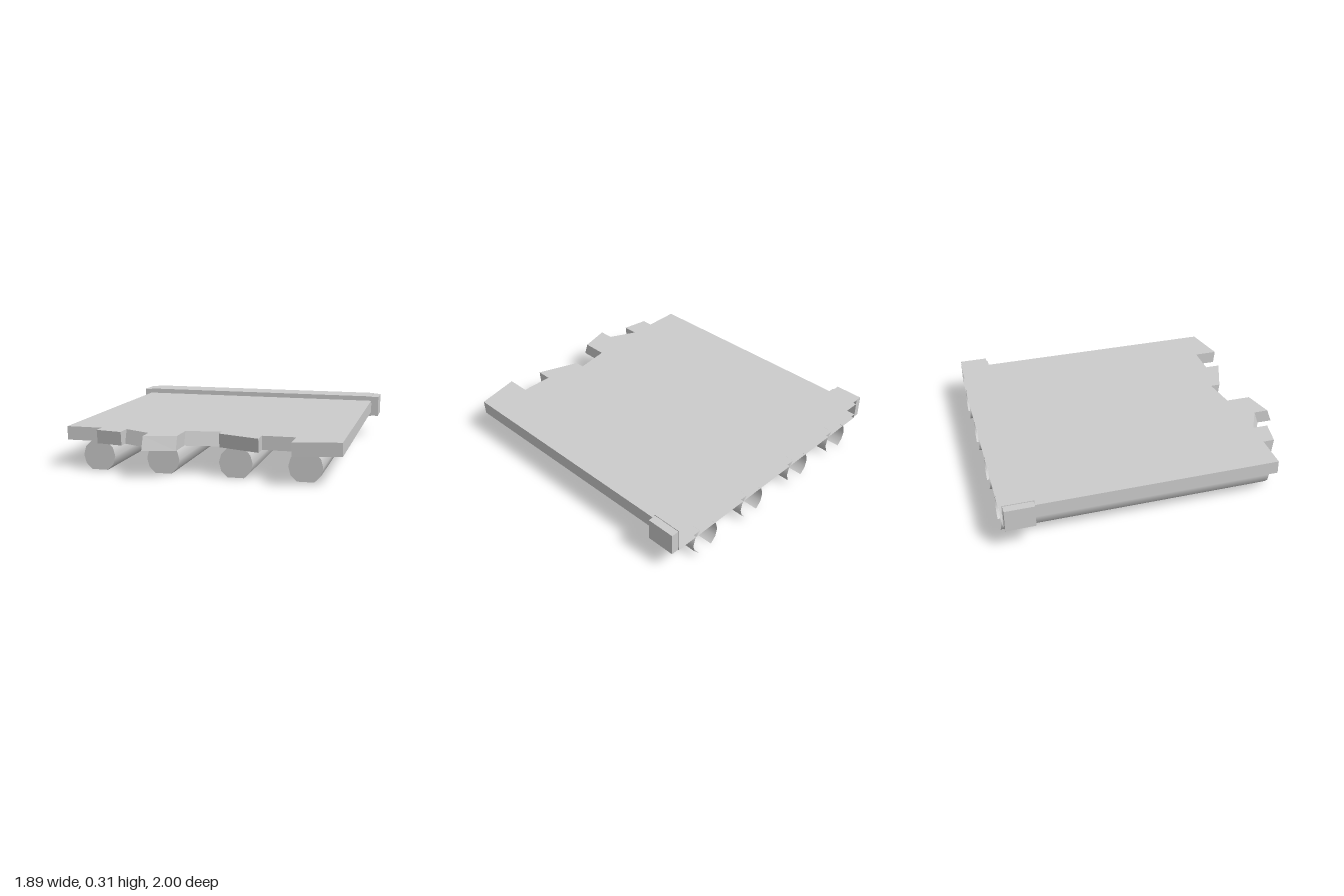
import * as THREE from 'three';

const smoothMaterial = new THREE.MeshStandardMaterial({ color: 0xcccccc, side: THREE.DoubleSide });
const flatMaterial = new THREE.MeshStandardMaterial({ color: 0xcccccc, flatShading: true, side: THREE.DoubleSide });
const BACK = -1;

// Removes the faces lying in the back plane, leaving the part open there
function openBack(geometry) {
  const source = geometry.index ? geometry.toNonIndexed() : geometry;
  const p = source.attributes.position;
  const kept = [];
  for (let i = 0; i < p.count; i += 3) {
    const onBack = [0, 1, 2].every((k) => Math.abs(p.getZ(i + k) - BACK) < 1e-4);
    if (!onBack) for (let k = 0; k < 3; k++) kept.push(p.getX(i + k), p.getY(i + k), p.getZ(i + k));
  }
  const result = new THREE.BufferGeometry();
  result.setAttribute('position', new THREE.Float32BufferAttribute(kept, 3));
  result.computeVertexNormals();
  return result;
}

function boxBetween(x0, x1, y0, y1, z0, z1) {
  return new THREE.BoxGeometry(x1 - x0, y1 - y0, z1 - z0)
    .translate((x0 + x1) / 2, (y0 + y1) / 2, (z0 + z1) / 2);
}

// Deck with a splintered front edge: x, top z, bottom z
function createDeck() {
  const edge = [
    [-0.895, 0.78, 0.78], [-0.66, 0.78, 0.78], [-0.66, 0.855, 0.845], [-0.487, 0.885, 0.875],
    [-0.487, 0.783, 0.813], [-0.31, 0.87, 0.9], [-0.31, 0.967, 1], [-0.108, 0.915, 0.945],
    [-0.108, 0.75, 0.78], [0.117, 0.715, 0.745], [0.117, 0.78, 0.77], [0.388, 0.88, 0.87],
    [0.388, 0.781, 0.781], [0.6, 0.78, 0.78], [0.6, 0.935, 0.925], [0.892, 0.872, 0.862],
  ];
  const outline = [[-0.895, BACK], [0.892, BACK], ...edge.slice().reverse()];
  const shape = new THREE.Shape(outline.map(([x, z]) => new THREE.Vector2(x, z)));
  const geometry = new THREE.ExtrudeGeometry(shape, { depth: 0.088, bevelEnabled: false });
  geometry.rotateX(Math.PI / 2);
  // Slant the broken faces by shifting the lower corners
  const p = geometry.attributes.position;
  for (let i = 0; i < p.count; i++) {
    if (p.getY(i) > -0.04) continue;
    const corner = edge.find(([x, z]) => Math.abs(x - p.getX(i)) < 1e-4 && Math.abs(z - p.getZ(i)) < 1e-4);
    if (corner) p.setZ(i, corner[2]);
  }
  geometry.translate(0, 0.273, 0);
  const deck = new THREE.Mesh(openBack(geometry), flatMaterial);
  deck.name = 'deck';
  return deck;
}

// Hollow log: two curved walls, open above, below and behind, capped at the front
function createLog(x) {
  const radius = 0.107, half = radius * Math.sin(Math.PI / 3), front = 0.78, length = front - BACK;
  const log = new THREE.Group();
  log.name = 'log';
  for (const side of [-1, 1]) {
    const geometry = new THREE.CylinderGeometry(
      radius, radius, length, 4, 1, true, side * Math.PI / 2 - Math.PI / 3, Math.PI * 2 / 3);
    const wall = new THREE.Mesh(geometry.rotateX(Math.PI / 2), smoothMaterial);
    wall.name = side > 0 ? 'logWallLeft' : 'logWallRight';
    log.add(wall);
  }
  const rim = [];
  for (const start of [-60, 120]) {
    for (let i = 0; i <= 4; i++) {
      const angle = THREE.MathUtils.degToRad(start + i * 30);
      rim.push(new THREE.Vector2(radius * Math.cos(angle), radius * Math.sin(angle)));
    }
  }
  const cap = new THREE.Mesh(new THREE.ShapeGeometry(new THREE.Shape(rim)), flatMaterial);
  cap.name = 'logEnd';
  cap.position.z = length / 2;
  log.add(cap);
  log.position.set(x, half, (front + BACK) / 2);
  return log;
}

// Cross rail over the back edge, with a slightly smaller block at each end
function createRail() {
  const rail = new THREE.Group();
  rail.name = 'backRail';
  const beam = new THREE.Mesh(openBack(boxBetween(-0.893, 0.893, 0.155, 0.307, BACK, -0.801)), flatMaterial);
  beam.name = 'railBeam';
  rail.add(beam);
  for (const side of [-1, 1]) {
    const inner = side * 0.893, outer = side * 0.945;
    const block = new THREE.Mesh(
      boxBetween(Math.min(inner, outer), Math.max(inner, outer), 0.157, 0.302, -0.995, -0.807), flatMaterial);
    block.name = side > 0 ? 'railEndLeft' : 'railEndRight';
    rail.add(block);
  }
  return rail;
}

export function createModel() {
  const model = new THREE.Group();
  model.name = 'logPlatform';
  model.add(createDeck(), createRail());
  for (const x of [-0.677, -0.247, 0.224, 0.659]) model.add(createLog(x));
  return model;
}
